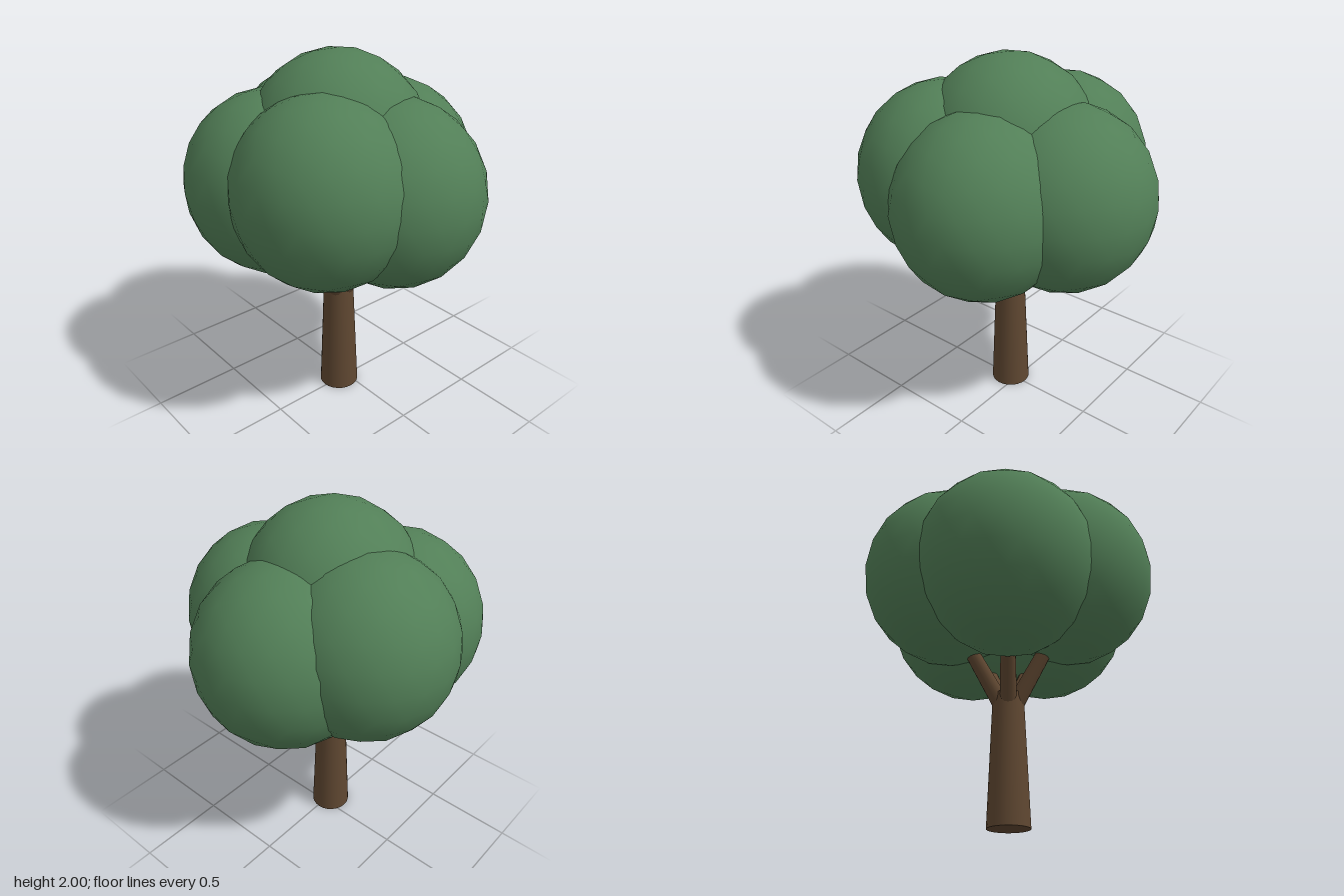
import * as THREE from 'three';

export function createModel() {
  const tree = new THREE.Group();
  tree.name = 'tree';
  const bark = new THREE.MeshStandardMaterial({ name: 'barkBrown', color: 0x5f4731 });
  const leaf = new THREE.MeshStandardMaterial({ name: 'leafGreen', color: 0x527f57 });
  const cx = -0.05, cz = -0.01; // trunk axis

  function add(name, geometry, material) {
    const mesh = new THREE.Mesh(geometry, material);
    mesh.name = name;
    tree.add(mesh);
    return mesh;
  }

  // Tapered round limb between two points
  function limb(name, from, to, r0, r1, sides) {
    const dir = to.clone().sub(from);
    const mesh = add(name, new THREE.CylinderGeometry(r1, r0, dir.length(), sides), bark);
    mesh.position.copy(from).addScaledVector(dir, 0.5);
    mesh.quaternion.setFromUnitVectors(new THREE.Vector3(0, 1, 0), dir.normalize());
  }

  limb('trunk', new THREE.Vector3(cx, 0, cz), new THREE.Vector3(cx, 0.7, cz), 0.112, 0.083, 24);

  // Five branches fanning out from the top of the trunk
  for (let i = 0; i < 5; i++) {
    const a = (i / 5) * Math.PI * 2;
    limb('branch' + (i + 1),
      new THREE.Vector3(cx, 0.58, cz),
      new THREE.Vector3(cx + 0.27 * Math.cos(a), 1.03, cz - 0.27 * Math.sin(a)),
      0.048, 0.036, 14);
  }

  // Foliage balls: smooth spheres with a vertex at the top: x, y, z, then x, y, z radii
  const ball = new THREE.IcosahedronGeometry(1, 3);
  ball.rotateZ(-Math.atan(2 / (1 + Math.sqrt(5))));
  const clumps = {
    leftFoliage: [0.308, 1.305, -0.01, 0.482, 0.495, 0.48],
    backLeftFoliage: [0.06, 1.365, -0.32, 0.478, 0.495, 0.48],
    backRightFoliage: [-0.325, 1.305, -0.215, 0.465, 0.495, 0.485],
    frontRightFoliage: [-0.315, 1.365, 0.195, 0.462, 0.495, 0.487],
    frontFoliage: [0.045, 1.305, 0.318, 0.468, 0.495, 0.48],
    topFoliage: [cx, 1.51, cz, 0.478, 0.49, 0.478],
  };
  for (const [name, [x, y, z, rx, ry, rz]] of Object.entries(clumps)) {
    const mesh = add(name, ball, leaf);
    mesh.position.set(x, y, z);
    mesh.scale.set(rx, ry, rz);
  }
  return tree;
}
